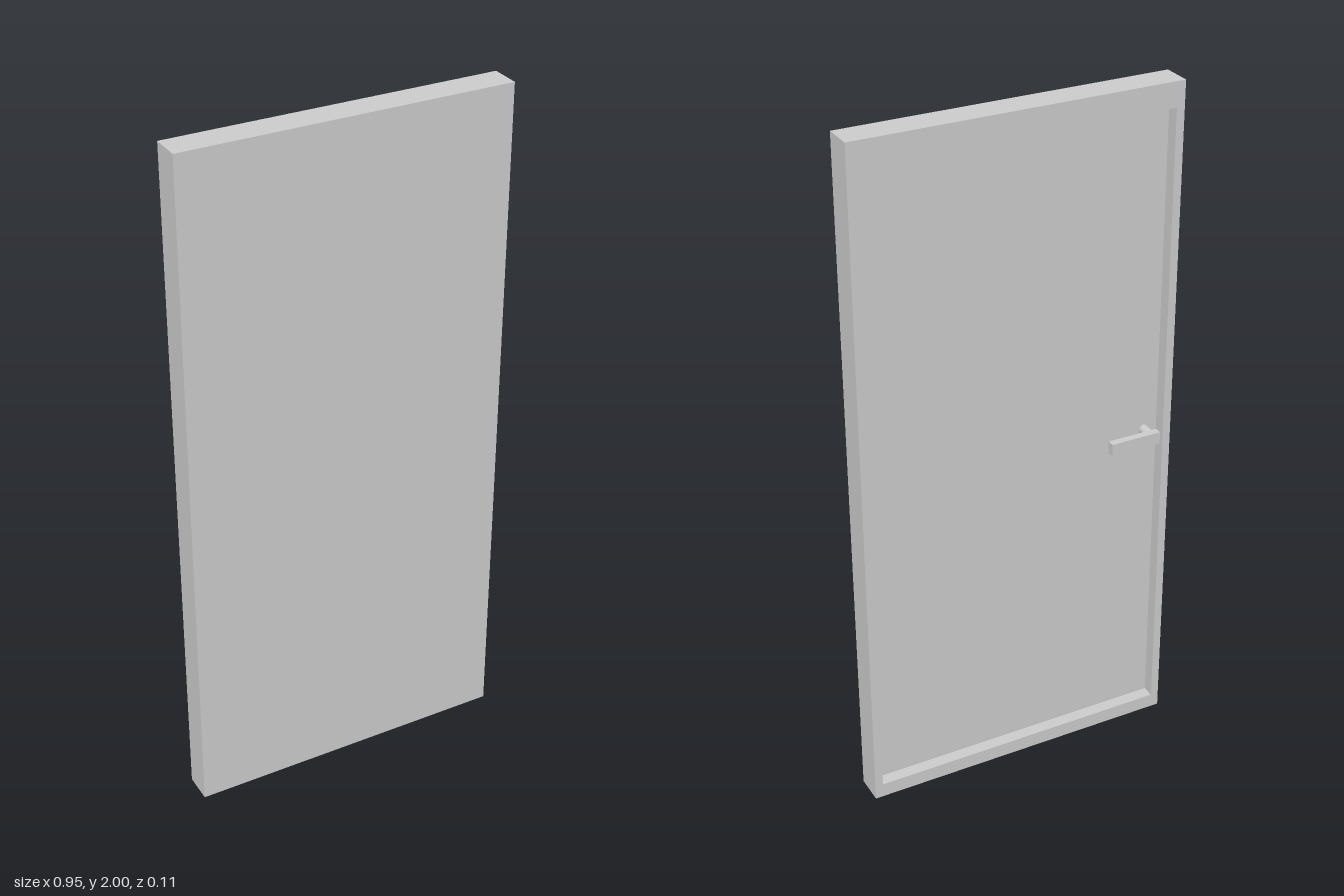
import * as THREE from 'three';

const W = 0.475, H = 2, FRONT = 0.057, BACK = -0.031, PANEL = 0.006;

export function createModel() {
  const door = new THREE.Group();
  door.name = 'door';
  const material = new THREE.MeshStandardMaterial({ color: 0xcccccc, flatShading: true });
  const smooth = new THREE.MeshStandardMaterial({ color: 0xcccccc });

  const add = (name, geometry, x, y, z, mat = material) => {
    const mesh = new THREE.Mesh(geometry, mat);
    mesh.name = name;
    mesh.position.set(x, y, z);
    door.add(mesh);
    return mesh;
  };

  // Solid leaf, flat across the front
  add('leaf', new THREE.BoxGeometry(2 * W, H, FRONT - PANEL), 0, H / 2, (FRONT + PANEL) / 2);

  // Raised rim around the recessed back, thicker at the top and bottom
  const side = 0.024, top = 0.071, bottom = 0.043;
  const rim = new THREE.Shape([
    new THREE.Vector2(-W, 0), new THREE.Vector2(W, 0),
    new THREE.Vector2(W, H), new THREE.Vector2(-W, H),
  ]);
  rim.holes.push(new THREE.Path([
    new THREE.Vector2(-W + side, bottom), new THREE.Vector2(-W + side, H - top),
    new THREE.Vector2(W - side, H - top), new THREE.Vector2(W - side, bottom),
  ]));
  add('rim', new THREE.ExtrudeGeometry(rim, { depth: PANEL - BACK, bevelEnabled: false }), 0, 0, BACK);

  // Lever handle on a short round spindle
  const handleY = 0.971, leverFront = -0.036, leverBack = -0.058;
  const spindle = add('handleSpindle', new THREE.CylinderGeometry(0.015, 0.015, PANEL - leverFront, 20),
    -0.41, handleY, (PANEL + leverFront) / 2, smooth);
  spindle.rotation.x = Math.PI / 2;
  add('handleLever', new THREE.BoxGeometry(0.154, 0.037, leverFront - leverBack),
    -0.348, handleY, (leverFront + leverBack) / 2);

  return door;
}
